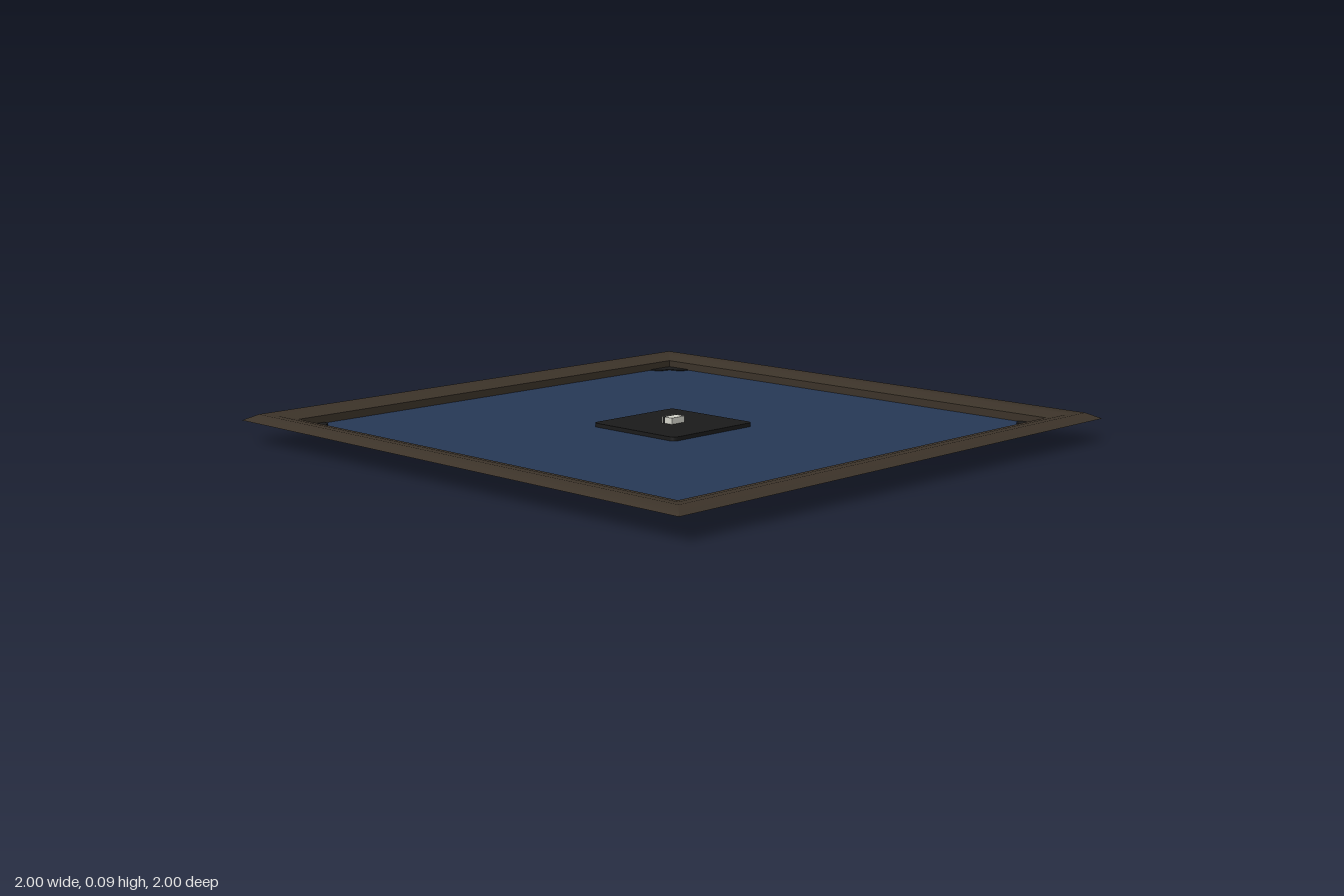
import * as THREE from 'three';

const mat = (name, color, side = THREE.FrontSide) => {
  const m = new THREE.MeshStandardMaterial({ color, side });
  m.name = name;
  return m;
};

// Mitred strip: sweeps a [radius, y] profile along one side of a square
function sideStrip(profile) {
  const pos = [], idx = [];
  for (const [r, y] of profile) pos.push(-r, y, r, r, y, r);
  for (let i = 0; i < profile.length - 1; i++) {
    const a = i * 2;
    idx.push(a, a + 2, a + 3, a, a + 3, a + 1);
  }
  const g = new THREE.BufferGeometry();
  g.setAttribute('position', new THREE.Float32BufferAttribute(pos, 3));
  g.setIndex(idx);
  g.computeVertexNormals();
  return g;
}

// Flat outline in x/z extruded upwards from y0 to y1
function slab(shape, y0, y1) {
  const g = new THREE.ExtrudeGeometry(shape, { depth: y1 - y0, bevelEnabled: false, curveSegments: 6 });
  g.rotateX(-Math.PI / 2);
  g.translate(0, y0, 0);
  return g;
}

function roundedSquare(h, r) {
  const s = new THREE.Shape();
  s.moveTo(-h + r, -h);
  s.absarc(h - r, -h + r, r, -Math.PI / 2, 0);
  s.absarc(h - r, h - r, r, 0, Math.PI / 2);
  s.absarc(-h + r, h - r, r, Math.PI / 2, Math.PI);
  s.absarc(-h + r, -h + r, r, Math.PI, Math.PI * 1.5);
  return s;
}

export function createModel() {
  const root = new THREE.Group();
  const wood = mat('dark wood', 0x3c3329, THREE.DoubleSide);
  const blue = mat('blue panel', 0x273956);
  const black = mat('black fitting', 0x1b1b1b);
  const metal = mat('pale metal', 0xd6d6cc);

  const add = (name, geometry, material, parent = root) => {
    const m = new THREE.Mesh(geometry, material);
    m.name = name;
    parent.add(m);
    return m;
  };

  // Frame: four mitred sides; profiles run so that their faces point outwards
  const surfaces = {
    frameMoulding: [[0.868, 0.078], [0.92, 0.09], [0.96, 0.095], [1, 0.075]],
    frameInnerWall: [[0.868, 0.047], [0.868, 0.078]],
    frameUnderside: [[1, 0.075], [0.87, 0.075]],
    frameLip: [[0.87, 0.075], [0.87, 0.047]],
  };
  for (let i = 0; i < 4; i++) {
    const side = new THREE.Group();
    side.name = 'frameSide';
    side.rotation.y = i * Math.PI / 2;
    root.add(side);
    for (const [name, profile] of Object.entries(surfaces)) add(name, sideStrip(profile), wood, side);
  }

  // Blue panel closing the bottom of the tray
  const panel = new THREE.BoxGeometry(1.736, 0.004, 1.736);
  panel.translate(0, 0.05, 0);
  add('panel', panel, blue);

  // Scalloped corner brackets, showing on both faces of the panel
  const outline = [[0, 0], [0.1, 0], [0.098, 0.022], [0.085, 0.04], [0.06, 0.044], [0.047, 0.047],
    [0.044, 0.06], [0.04, 0.085], [0.022, 0.098], [0, 0.1]];
  const bracket = new THREE.Shape(outline.map(([x, y]) => new THREE.Vector2(x - 0.867, y - 0.867)));
  const bracketGeometry = slab(bracket, 0.0472, 0.055);
  for (let i = 0; i < 4; i++) add('cornerBracket', bracketGeometry, black).rotation.y = i * Math.PI / 2;

  // Central mounting block
  add('mountingBlock', slab(roundedSquare(0.186, 0.02), 0.051, 0.065), black);

  // Hook through the block: pale front block, black core, thin pale back plate
  const layers = [
    ['hookFront', 0.024, -0.008, metal],
    ['hookCore', -0.008, -0.017, black],
    ['hookBack', -0.017, -0.022, metal],
  ];
  for (const [name, z0, z1, material] of layers) {
    const g = new THREE.BoxGeometry(0.06, 0.086, z0 - z1);
    g.translate(0, 0.043, (z0 + z1) / 2);
    add(name, g, material);
  }
  return root;
}
